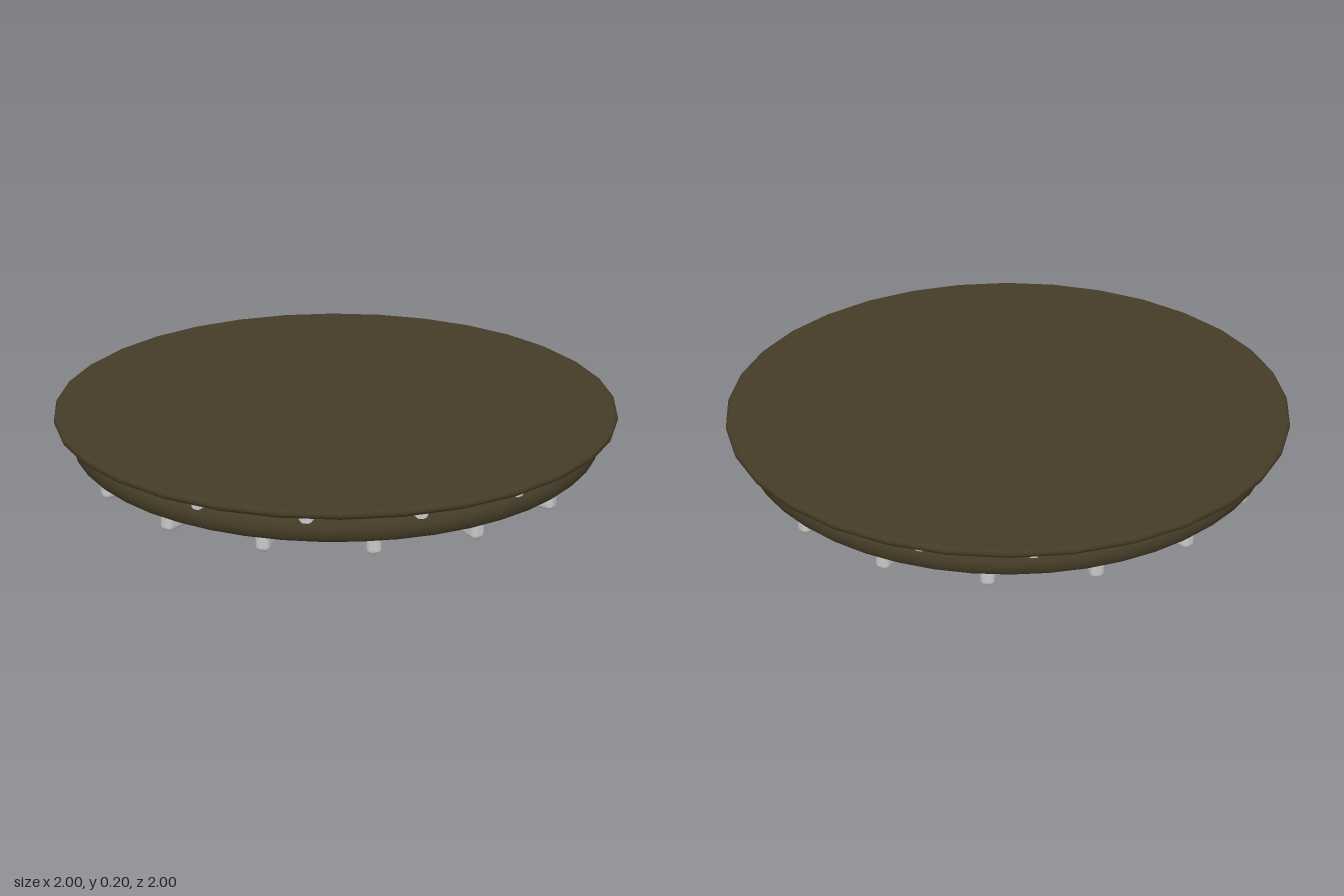
import * as THREE from 'three';
import { RoundedBoxGeometry } from 'three/addons/geometries/RoundedBoxGeometry.js';

const FIN_COUNT = 16;

export function createModel() {
  const model = new THREE.Group();
  model.name = 'roundPlatform';

  const bronze = new THREE.MeshStandardMaterial({ color: 0x453c27 });
  bronze.name = 'darkBronze';
  const grey = new THREE.MeshStandardMaterial({ color: 0xc9c9c9 });
  grey.name = 'lightGrey';

  const lathe = (name, points, segments) => {
    const profile = points.map(([r, y]) => new THREE.Vector2(r, y));
    const mesh = new THREE.Mesh(new THREE.LatheGeometry(profile, segments), bronze);
    mesh.name = name;
    model.add(mesh);
  };

  // Thin top disc with a softly rounded rim
  lathe('topDisc', [
    [0, 0.163], [0.985, 0.163], [0.997, 0.17], [1, 0.18], [0.997, 0.19], [0.985, 0.197], [0, 0.197],
  ], 32);

  // Lower ring with a rounded cross-section
  lathe('lowerRing', [
    [0.88, 0.06], [0.925, 0.06], [0.938, 0.073], [0.94, 0.095], [0.937, 0.117], [0.925, 0.13],
    [0.88, 0.13], [0.87, 0.117], [0.867, 0.095], [0.87, 0.073], [0.88, 0.06],
  ], 48);

  // Radial fins in two tiers, each tier turned against the other
  const addFins = (name, inner, outer, bottom, top, turn) => {
    const geometry = new RoundedBoxGeometry(0.048, top - bottom, outer - inner, 3, 0.018);
    geometry.translate(0, (bottom + top) / 2, (inner + outer) / 2);
    const tier = new THREE.Group();
    tier.name = name + 's';
    for (let i = 0; i < FIN_COUNT; i++) {
      const fin = new THREE.Mesh(geometry, grey);
      fin.name = name;
      fin.rotation.y = THREE.MathUtils.degToRad(turn) + (i * Math.PI * 2) / FIN_COUNT;
      tier.add(fin);
    }
    model.add(tier);
  };
  addFins('lowerFin', 0.66, 0.91, 0, 0.1, -4.5);
  addFins('upperFin', 0.66, 0.93, 0.085, 0.18, 4.6);

  return model;
}
